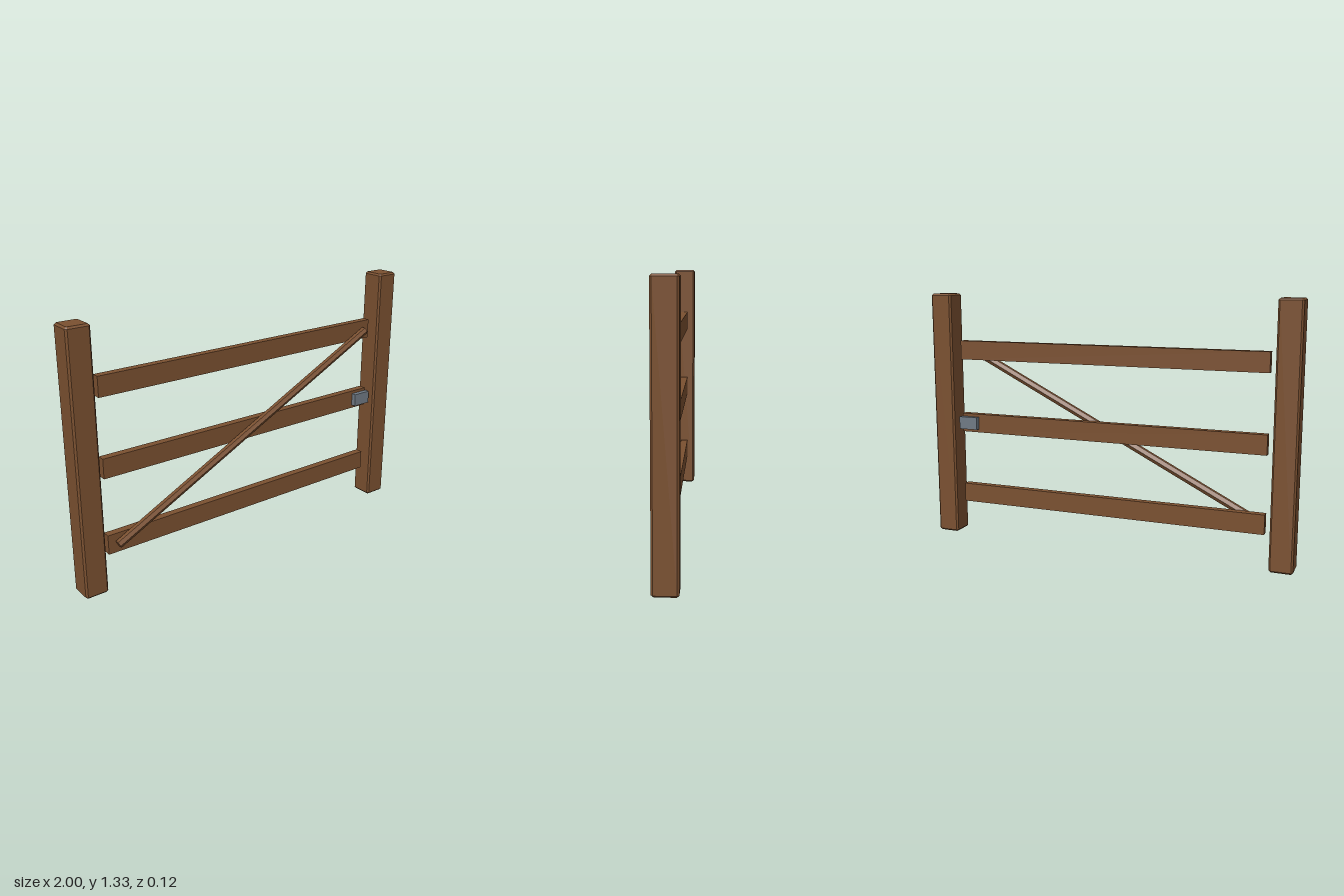
import * as THREE from 'three';

const wood = new THREE.MeshStandardMaterial({ color: 0x7a5030 });
wood.name = 'brown wood';
const metal = new THREE.MeshStandardMaterial({ color: 0x707a85 });
metal.name = 'grey metal';

// Square post with every edge chamfered, standing on y = 0
function postGeometry(width, height, c) {
  const h = width / 2, k = h - c;
  const outline = [[h, -k], [h, k], [k, h], [-k, h], [-h, k], [-h, -k], [-k, -h], [k, -h]];
  const shape = new THREE.Shape(outline.map(([x, y]) => new THREE.Vector2(x, y)));
  const geometry = new THREE.ExtrudeGeometry(shape, {
    depth: height - 2 * c, bevelEnabled: true, bevelSegments: 1,
    bevelThickness: c, bevelSize: c, bevelOffset: -c,
  });
  return geometry.translate(0, 0, c).rotateX(-Math.PI / 2);
}

export function createModel() {
  const group = new THREE.Group();
  group.name = 'gate';
  const add = (name, geometry, material, x, y, z) => {
    const mesh = new THREE.Mesh(geometry, material);
    mesh.name = name;
    mesh.position.set(x, y, z);
    group.add(mesh);
    return mesh;
  };

  // Posts at both ends
  const post = postGeometry(0.12, 1.335, 0.009);
  add('leftPost', post, wood, 0.94, 0, 0);
  add('rightPost', post, wood, -0.94, 0, 0);

  // Three horizontal rails
  const rail = new THREE.BoxGeometry(1.694, 0.102, 0.04);
  [['lowerRail', 0.227], ['middleRail', 0.628], ['upperRail', 1.03]]
    .forEach(([name, y]) => add(name, rail, wood, 0, y, 0));

  // Slim faceted brace across the front of the rails
  const start = new THREE.Vector3(-0.802, 0.225, 0.038);
  const end = new THREE.Vector3(0.802, 1.03, 0.038);
  const along = end.clone().sub(start);
  const bar = new THREE.CylinderGeometry(0.0215, 0.0215, along.length(), 6).toNonIndexed();
  bar.computeVertexNormals();
  const middle = start.clone().lerp(end, 0.5);
  const brace = add('diagonalBrace', bar, wood, middle.x, middle.y, middle.z);
  brace.rotation.z = Math.atan2(along.y, along.x) - Math.PI / 2;

  // Latch wrapped around the end of the middle rail
  add('latch', new THREE.BoxGeometry(0.107, 0.068, 0.092), metal, 0.8, 0.629, 0);

  return group;
}
